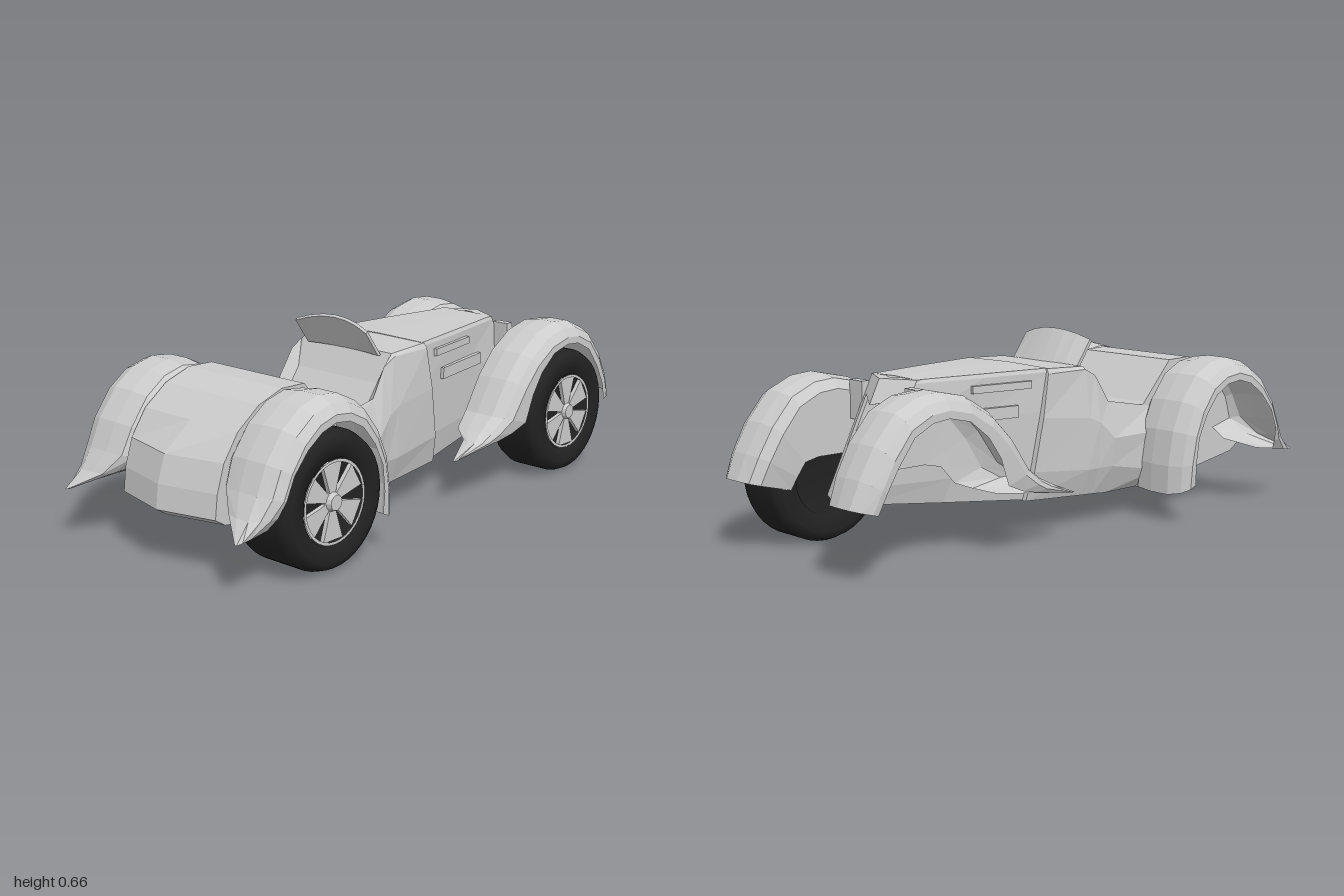
import * as THREE from 'three';

const body = new THREE.MeshStandardMaterial({ color: 0xcccccc, flatShading: true, side: THREE.DoubleSide });
body.name = 'body grey';
const rubber = new THREE.MeshStandardMaterial({ color: 0x222222, side: THREE.DoubleSide });
rubber.name = 'tyre black';

function add(parent, name, geometry, material = body) {
  const mesh = new THREE.Mesh(geometry, material);
  mesh.name = name;
  parent.add(mesh);
  return mesh;
}

const points = (list) => list.map(([a, b]) => new THREE.Vector2(a, b));

// Skin a row of equal-length rings of [x, y, z] points.
function loft(rings, closed, caps) {
  const n = rings[0].length, index = [];
  const span = closed ? n : n - 1;
  for (let i = 0; i < rings.length - 1; i++) {
    for (let j = 0; j < span; j++) {
      const k = (j + 1) % n;
      const a = i * n + j, b = i * n + k, c = b + n, d = a + n;
      index.push(a, d, c, a, c, b);
    }
  }
  if (caps) {
    const last = (rings.length - 1) * n;
    for (let j = 1; j < n - 1; j++) {
      index.push(0, j, j + 1, last, last + j + 1, last + j);
    }
  }
  const geometry = new THREE.BufferGeometry();
  geometry.setAttribute('position', new THREE.Float32BufferAttribute(rings.flat(2), 3));
  geometry.setIndex(index);
  geometry.computeVertexNormals();
  return geometry;
}

// Half section: x, slant, then z,y of bottom, sill, side, shoulder, inner edge, and centre y.
function hullRing([x, slant, zb, yb, zm, ym, zs, ys, zt, yt, zf, yf, yc]) {
  const half = [[zb, yb], [zm, ym], [zs, ys], [zt, yt], [zf, yf]];
  const mirrored = half.map(([z, y]) => [-z, y]).reverse();
  return [[0, yb], ...half, [0, yc], ...mirrored].map(([z, y]) => [x + slant * (0.56 - y), y, z]);
}

// Fender station: outer x, y, inner z, outer z, lip depth; lips point to (cx, cy).
// The inner side reaches down to y = 0.3 and walls off the wheel well.
function fender(stations, cx, cy) {
  return loft(stations.map(([x, y, zi, zo, lip]) => {
    const d = Math.hypot(cx - x, cy - y), w = zo - zi;
    const wall = y > 0.3 ? (y - 0.3) / (y - cy) * d : 0;
    const section = [
      [zi, Math.max(wall, Math.min(lip * 2.3, 0.18))], [zi, 0.3 * lip + 0.02], [zi + 0.12 * w, 0.01],
      [zi + 0.4 * w, 0], [zo - 0.28 * w, 0], [zo - 0.09 * w, 0.02], [zo, Math.min(0.05, lip * 0.8)], [zo, lip]
    ];
    return section.map(([z, depth]) => [x + (cx - x) / d * depth, y + (cy - y) / d * depth, z]);
  }), false, false);
}

function wheel(name, x, z, width) {
  const g = new THREE.Group();
  g.name = name;
  g.position.set(x, 0.228, z);
  const h = width / 2;
  const profile = points([
    [0.001, -h * 0.7], [0.125, -h * 0.7], [0.135, -h * 0.95], [0.19, -h], [0.214, -h * 0.9], [0.225, -h * 0.65],
    [0.225, h * 0.65], [0.214, h * 0.9], [0.19, h], [0.14, h * 0.95], [0.13, h * 0.65], [0.001, h * 0.65]
  ]);
  add(g, 'tyre', new THREE.LatheGeometry(profile, 40).rotateX(Math.PI / 2), rubber);
  add(g, 'rimRing', new THREE.RingGeometry(0.126, 0.136, 32)).position.z = h * 0.94;
  add(g, 'hub', new THREE.CylinderGeometry(0.025, 0.036, 0.03, 12).rotateX(Math.PI / 2)).position.z = h * 0.88;
  const spoke = new THREE.Shape(points([[-0.012, 0.025], [0.012, 0.025], [0.043, 0.124], [-0.043, 0.124]]));
  for (let i = 0; i < 6; i++) {
    const s = add(g, 'spoke', new THREE.ExtrudeGeometry(spoke, { depth: 0.015, bevelEnabled: false }));
    s.position.z = h * 0.75;
    s.rotation.z = i * Math.PI / 3;
  }
  return g;
}

export function createModel() {
  const car = new THREE.Group();
  car.name = 'openRoadster';

  // Cockpit tub and cowl
  add(car, 'cockpitAndCowl', loft([
    [-0.42, 0, 0.2, 0.1, 0.25, 0.16, 0.25, 0.3, 0.21, 0.385, 0.18, 0.365, 0.365],
    [-0.2, 0, 0.2, 0.1, 0.24, 0.2, 0.25, 0.3, 0.215, 0.425, 0.18, 0.38, 0.38],
    [-0.14, 0, 0.2, 0.105, 0.23, 0.2, 0.24, 0.36, 0.21, 0.52, 0.18, 0.46, 0.46],
    [-0.09, 0, 0.2, 0.108, 0.23, 0.2, 0.235, 0.38, 0.212, 0.545, 0.2, 0.555, 0.555],
    [0.08, 0.18, 0.18, 0.12, 0.205, 0.22, 0.215, 0.4, 0.21, 0.545, 0.2, 0.562, 0.565]
  ].map(hullRing), true, true));

  // Tapering hood
  add(car, 'hood', loft([
    [0.075, 0.18, 0.165, 0.122, 0.185, 0.22, 0.197, 0.42, 0.2, 0.55, 0.195, 0.563, 0.567],
    [0.32, 0.35, 0.11, 0.15, 0.13, 0.23, 0.147, 0.41, 0.16, 0.55, 0.155, 0.563, 0.567],
    [0.57, 0.5, 0.095, 0.185, 0.112, 0.24, 0.113, 0.4, 0.115, 0.55, 0.11, 0.562, 0.565]
  ].map(hullRing), true, true));

  // Tail deck, pointed at the rear
  const tailShape = new THREE.Shape(points([
    [-0.36, 0.1], [-0.36, 0.38], [-0.39, 0.4], [-0.52, 0.54], [-0.62, 0.543], [-0.72, 0.51],
    [-0.81, 0.445], [-0.87, 0.36], [-0.9, 0.27], [-0.91, 0.19], [-0.87, 0.165], [-0.6, 0.12]
  ]));
  const tail = new THREE.ExtrudeGeometry(tailShape, { depth: 0.42, steps: 2, bevelEnabled: false });
  tail.translate(0, 0, -0.21);
  const p = tail.attributes.position;
  for (let i = 0; i < p.count; i++) {
    if (Math.abs(p.getZ(i)) < 0.01 && p.getX(i) < -0.85) p.setX(i, p.getX(i) - 0.05);
  }
  tail.computeVertexNormals();
  add(car, 'tail', tail);

  // Curved raked windscreen
  const screen = [];
  for (let i = 3; i >= -3; i--) {
    const t = i / 3, bow = 0.018 * t * t, drop = 0.03 * t * t;
    screen.push([[-0.08 - bow, 0.545, 0.16 * t], [-0.147 - bow, 0.667 - drop, 0.16 * t],
      [-0.155 - bow, 0.66 - drop, 0.16 * t], [-0.095 - bow, 0.545, 0.16 * t]]);
  }
  add(car, 'windscreen', loft(screen, true, true));

  // V-shaped raked grille frame, half of it
  const grille = new THREE.Shape(points([
    [0, 0.185], [0.115, 0.185], [0.115, 0.562], [0, 0.562], [0, 0.48], [0.088, 0.5], [0.088, 0.34], [0, 0.34]
  ]));
  const frame = new THREE.ExtrudeGeometry(grille, { depth: 0.04, bevelEnabled: false });
  const q = frame.attributes.position;
  for (let i = 0; i < q.count; i++) {
    const z = q.getX(i), y = q.getY(i), depth = 0.04 - q.getZ(i);
    q.setXYZ(i, 0.57 + 0.5 * (0.56 - y) + 0.06 * (1 - z / 0.115) - depth, y, z);
  }
  // Swapping two axes reverses the corners, so turn the faces round again
  for (let i = 0; i < q.count; i += 3) {
    const a = [q.getX(i), q.getY(i), q.getZ(i)];
    q.setXYZ(i, q.getX(i + 1), q.getY(i + 1), q.getZ(i + 1));
    q.setXYZ(i + 1, ...a);
  }
  frame.computeVertexNormals();

  const frontFender = fender([
    [0.08, 0.165, 0.325, 0.335, 0.01], [0.19, 0.208, 0.27, 0.365, 0.1], [0.235, 0.232, 0.2, 0.375, 0.12],
    [0.3, 0.28, 0.18, 0.385, 0.13], [0.38, 0.395, 0.175, 0.388, 0.1], [0.46, 0.475, 0.172, 0.388, 0.085],
    [0.56, 0.535, 0.172, 0.388, 0.075], [0.66, 0.557, 0.172, 0.388, 0.075], [0.74, 0.55, 0.172, 0.388, 0.075],
    [0.83, 0.51, 0.172, 0.388, 0.075], [0.91, 0.42, 0.172, 0.388, 0.075], [0.965, 0.325, 0.178, 0.385, 0.07],
    [1, 0.24, 0.19, 0.375, 0.07]
  ].reverse(), 0.69, 0.16);

  const rearFender = fender([
    [-0.335, 0.1, 0.2, 0.44, 0.08], [-0.335, 0.2, 0.2, 0.444, 0.07], [-0.355, 0.32, 0.2, 0.446, 0.065],
    [-0.4, 0.42, 0.2, 0.446, 0.07], [-0.47, 0.505, 0.2, 0.446, 0.075], [-0.55, 0.545, 0.2, 0.446, 0.075],
    [-0.63, 0.555, 0.2, 0.446, 0.075], [-0.71, 0.535, 0.2, 0.446, 0.075], [-0.79, 0.48, 0.2, 0.446, 0.07],
    [-0.86, 0.39, 0.2, 0.446, 0.06], [-0.9, 0.3, 0.21, 0.444, 0.06], [-0.94, 0.235, 0.27, 0.425, 0.08],
    [-1, 0.18, 0.375, 0.4, 0.12]
  ], -0.625, 0.23);

  // Parts found on both sides
  for (const side of [1, -1]) {
    const half = new THREE.Group();
    half.name = side > 0 ? 'nearSide' : 'farSide';
    half.scale.z = side;
    add(half, 'grilleFrame', frame);
    add(half, 'frontFender', frontFender);
    add(half, 'rearFender', rearFender);
    add(half, 'fenderBracket', new THREE.BoxGeometry(0.03, 0.13, 0.065)).position.set(0.6, 0.475, 0.142);
    for (const [x, y, z, length, height] of [[0.26, 0.515, 0.168, 0.23, 0.025], [0.33, 0.43, 0.155, 0.27, 0.04]]) {
      const vent = add(half, 'hoodVent', new THREE.BoxGeometry(length, height, 0.03));
      vent.position.set(x, y, z);
      vent.rotation.y = 0.16;
    }
    car.add(half);
  }

  // Wheels are fitted on the +z side only
  car.add(wheel('frontWheel', 0.685, 0.29, 0.195), wheel('rearWheel', -0.628, 0.322, 0.245));
  return car;
}
